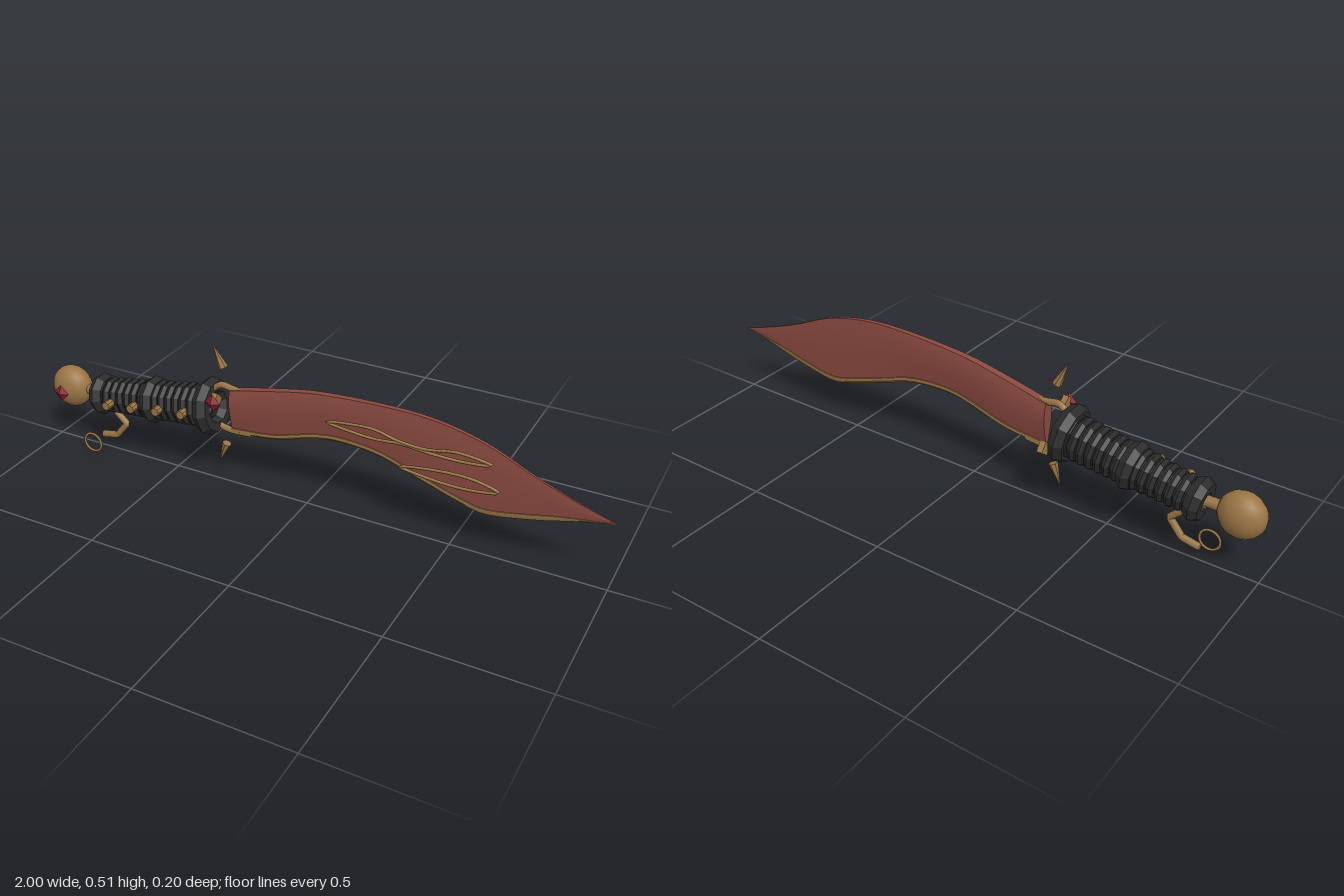
import * as THREE from 'three';
import { toCreasedNormals } from 'three/addons/utils/BufferGeometryUtils.js';

const V = (x, y, z = 0) => new THREE.Vector3(x, y, z);
const mat = (color, flatShading = false) =>
  new THREE.MeshStandardMaterial({ color, flatShading, side: THREE.DoubleSide });

export function createModel() {
  const model = new THREE.Group();
  const steel = mat(0x8a4a40), gold = mat(0x9a7545), goldFlat = mat(0x9a7545, true);
  const leather = mat(0x2c2c2c, true), ruby = mat(0x8c1c2c, true);

  const add = (name, geo, material, x = 0, y = 0, z = 0, parent = model) => {
    const m = new THREE.Mesh(geo, material);
    m.name = name;
    m.position.set(x, y, z);
    parent.add(m);
    return m;
  };
  const tube = (name, pts, r, closed = false, segs = 24, tension = 0.5) =>
    add(name, new THREE.TubeGeometry(
      new THREE.CatmullRomCurve3(pts, closed, 'catmullrom', tension), segs, r, 6, closed), gold);

  // Blade outline: spine and cutting edge share x along the blade
  const spinePts = [[-0.275, 0.355], [-0.125, 0.39], [0.035, 0.42], [0.275, 0.434], [0.435, 0.427],
    [0.595, 0.39], [0.755, 0.32], [0.88, 0.273], [1, 0.236]];
  const edgePts = [[-0.275, 0.2], [-0.125, 0.215], [0.035, 0.26], [0.115, 0.27], [0.25, 0.258],
    [0.38, 0.215], [0.54, 0.163], [0.605, 0.152], [0.73, 0.173], [0.88, 0.21], [1, 0.235]];
  // Smooth interpolation of y over x
  const sample = (pts, x) => {
    let i = 0;
    while (i < pts.length - 2 && x > pts[i + 1][0]) i++;
    const slope = k => {
      const a = pts[Math.max(k - 1, 0)], b = pts[Math.min(k + 1, pts.length - 1)];
      return (b[1] - a[1]) / (b[0] - a[0]);
    };
    const [x0, y0] = pts[i], [x1, y1] = pts[i + 1], h = x1 - x0, t = (x - x0) / h;
    return y0 * (1 + 2 * t) * (1 - t) ** 2 + slope(i) * h * t * (1 - t) ** 2
      + y1 * t * t * (3 - 2 * t) + slope(i + 1) * h * t * t * (t - 1);
  };

  // Loft of closed cross-sections along x; section(x) returns a loop of [y, z]
  const loft = (section, n) => {
    const pos = [], idx = [];
    let m = 0;
    for (let i = 0; i <= n; i++) {
      const x = -0.275 + 1.275 * i / n, loop = section(x);
      m = loop.length;
      for (const [y, z] of loop) pos.push(x, y, z);
    }
    for (let i = 0; i < n; i++) for (let j = 0; j < m; j++) {
      const a = i * m + j, b = i * m + (j + 1) % m;
      idx.push(a, a + m, b, b, a + m, b + m);
    }
    for (let j = 1; j < m - 1; j++) idx.push(0, j, j + 1);
    const g = new THREE.BufferGeometry();
    g.setAttribute('position', new THREE.Float32BufferAttribute(pos, 3));
    g.setIndex(idx);
    return toCreasedNormals(g, 0.6);
  };
  const profile = [[0, 0.12], [0.25, 0.55], [0.5, 0.9], [0.72, 1], [0.9, 0.85], [1, 0.65]];
  add('blade', loft(x => {
    const lo = sample(edgePts, x), hi = sample(spinePts, x);
    const th = 0.022 - 0.019 * (x + 0.275) / 1.275;
    const side = profile.map(([v, w]) => [lo + (hi - lo) * v, w * th]);
    return [...side.map(([y, z]) => [y, -z]), ...side.reverse()];
  }, 56), steel);

  // Gilded cutting edge
  add('bladeEdge', loft(x => {
    const lo = sample(edgePts, x), k = Math.min(1, (1 - x) / 0.2);
    const w = 0.004 + 0.006 * k * (1 - x) / 1.275;
    return [[lo - 0.006 * k, 0], [lo + 0.003, w], [lo + 0.014 * k, w], [lo + 0.014 * k, -w], [lo + 0.003, -w]];
  }, 56), gold);

  // Floating filigree in front of the blade
  const fz = 0.042;
  tube('upperFiligree', [[0.09, 0.352], [0.17, 0.365], [0.25, 0.368], [0.33, 0.35], [0.42, 0.345], [0.52, 0.362],
    [0.63, 0.348], [0.54, 0.335], [0.44, 0.335], [0.34, 0.342], [0.25, 0.335], [0.17, 0.34]]
    .map(p => V(...p, fz)), 0.005, true, 72);
  tube('lowerFiligree', [[0.34, 0.262], [0.41, 0.276], [0.5, 0.285], [0.58, 0.283], [0.655, 0.262],
    [0.58, 0.246], [0.5, 0.243], [0.41, 0.25]].map(p => V(...p, fz)), 0.005, true, 60);

  // Grip, built along its own x axis and tilted
  const grip = new THREE.Group();
  grip.name = 'grip';
  grip.position.set(-0.79, 0.21, 0);
  grip.rotation.z = 0.145;
  model.add(grip);
  const ring = (name, x, R, r, tubular = 10) => {
    const m = add(name, new THREE.TorusGeometry(R, r, 6, tubular), leather, x, 0, 0, grip);
    m.rotation.y = Math.PI / 2;
  };
  const core = add('gripCore', new THREE.CylinderGeometry(0.064, 0.047, 0.44, 10, 1, true), leather, 0.22, 0, 0, grip);
  core.rotation.z = -Math.PI / 2;
  for (let i = 0; i < 15; i++) {
    const t = (i + 0.5) / 15;
    ring('gripWrap', 0.44 * t, 0.047 + 0.017 * t, 0.014);
  }
  ring('rearCollar', 0, 0.045, 0.028);
  ring('middleCollar', 0.218, 0.056, 0.026);
  ring('frontCollar', 0.442, 0.07, 0.029);

  // Studs along the front of the grip
  for (let i = 0; i < 4; i++) {
    const s = add('gripStud', new THREE.CylinderGeometry(0.015, 0.015, 0.03, 8), goldFlat,
      -0.72 + 0.1 * i, 0.221 + 0.0147 * i, 0.076);
    s.rotation.x = Math.PI / 2;
  }

  // Pommel with neck and gem
  add('pommel', new THREE.SphereGeometry(0.075, 16, 12), gold, -0.925, 0.21, 0).scale.z = 0.75;
  const neck = add('pommelNeck', new THREE.CylinderGeometry(0.018, 0.018, 0.09, 8), gold, -0.835, 0.213, 0);
  neck.rotation.z = -Math.PI / 2;
  const gem = (name, x, y, z) =>
    add(name, new THREE.OctahedronGeometry(0.03), ruby, x, y, z).scale.z = 0.5;
  gem('pommelGem', -0.925, 0.21, 0.066);
  gem('guardGem', -0.302, 0.334, 0.075);

  // Diamond mounts on both sides of the guard
  for (const [y, z, a] of [[0.335, 0.058, Math.PI / 4], [0.235, -0.062, 0.65]]) {
    const b = add('guardMount', new THREE.BoxGeometry(0.02, 0.038, 0.038), goldFlat, -0.302, y, z);
    b.rotation.x = a;
  }

  // Claws holding the blade
  tube('upperClaw', [V(-0.35, 0.335), V(-0.315, 0.362), V(-0.27, 0.357), V(-0.22, 0.35)], 0.011);
  tube('lowerClaw', [V(-0.35, 0.225), V(-0.315, 0.208), V(-0.27, 0.202), V(-0.2, 0.207)], 0.011);

  // Guard spikes
  const spike = (name, base, tip) => {
    const d = tip.clone().sub(base), c = base.clone().add(tip).multiplyScalar(0.5);
    const m = add(name, new THREE.ConeGeometry(0.016, d.length(), 6), goldFlat, c.x, c.y, c.z);
    m.quaternion.setFromUnitVectors(V(0, 1), d.normalize());
  };
  spike('upperSpike', V(-0.303, 0.428), V(-0.338, 0.51, 0.006));
  spike('lowerSpike', V(-0.3, 0.146), V(-0.33, 0.07));

  // Hook under the pommel end and its loose ring
  const hook = new THREE.CurvePath();
  const pts = [V(-0.755, 0.16), V(-0.705, 0.112), V(-0.75, 0.057), V(-0.81, 0.045)];
  for (let i = 0; i < 3; i++) hook.add(new THREE.LineCurve3(pts[i], pts[i + 1]));
  add('hook', new THREE.TubeGeometry(hook, 24, 0.012, 6), gold);
  add('hookRing', new THREE.TorusGeometry(0.034, 0.0045, 6, 20), gold, -0.815, 0.0385, 0.058);

  return model;
}
